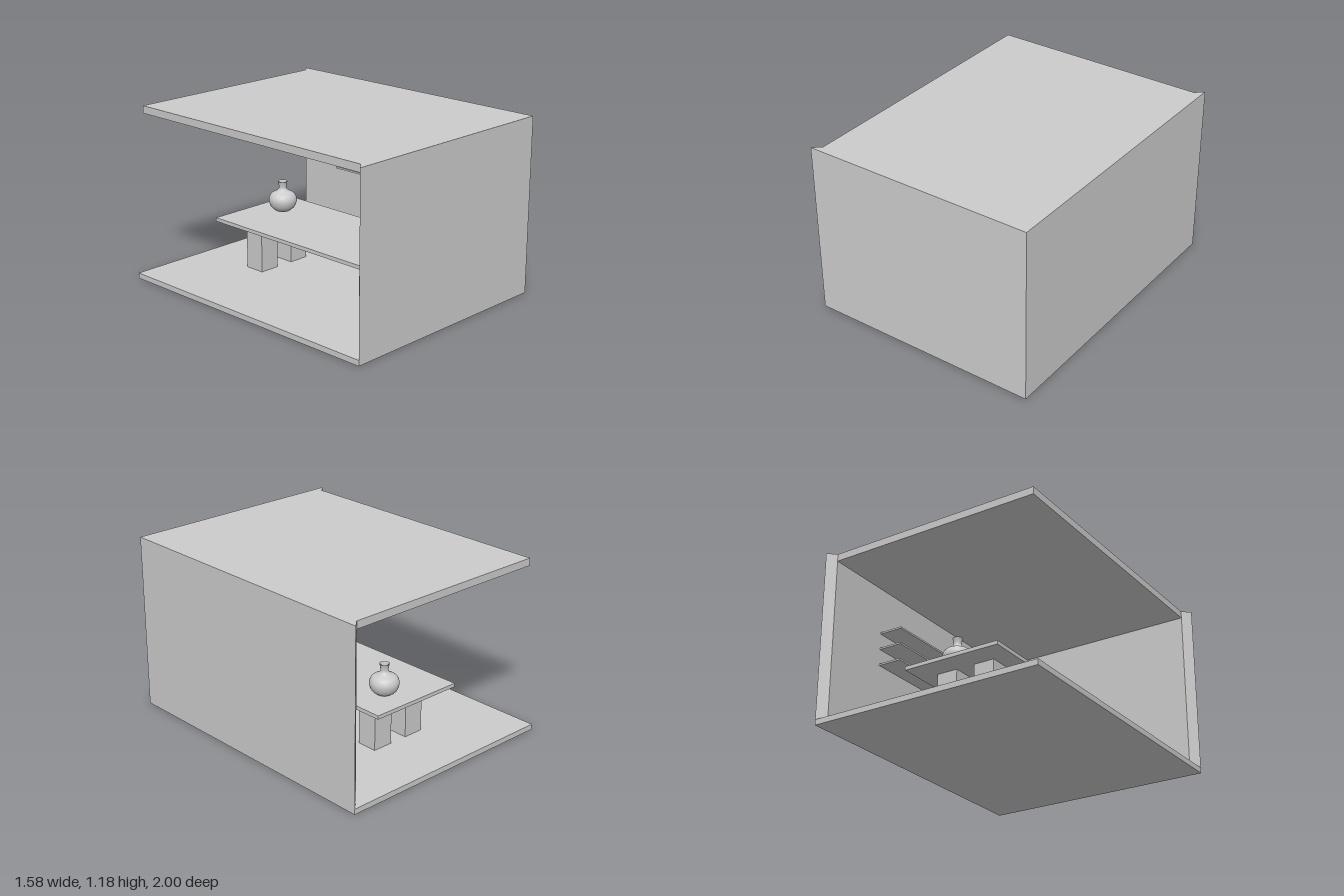
import * as THREE from 'three';

const material = new THREE.MeshStandardMaterial({ color: 0xcccccc, side: THREE.DoubleSide });

// Outer half extents, inner half extents and overall height of the room
const X = 0.79, Z = 1, IX = 0.735, IZ = 0.95, H = 1.18;
const FLOOR = 0.037, CEILING = 0.05;

function add(parent, name, geometry, x = 0, y = 0, z = 0) {
  const mesh = new THREE.Mesh(geometry, material);
  mesh.name = name;
  mesh.position.set(x, y, z);
  parent.add(mesh);
  return mesh;
}

// Upright prism over a floor plan given as [x, z] corners
function prism(plan, height) {
  const shape = new THREE.Shape(plan.map(([x, z]) => new THREE.Vector2(x, -z)));
  return new THREE.ExtrudeGeometry(shape, { depth: height, bevelEnabled: false }).rotateX(-Math.PI / 2);
}

// Box given by its size, its centre in plan and the height of its top
function slab(parent, name, [w, h, d], x, top, z) {
  return add(parent, name, new THREE.BoxGeometry(w, h, d), x, top - h / 2, z);
}

export function createModel() {
  const model = new THREE.Group();
  model.name = 'room';

  // Two joined walls whose free ends taper to a sharp edge
  add(model, 'walls', prism([[X, Z], [-X, Z], [-IX, IZ], [IX, IZ], [IX, -IZ], [X, -Z]], H));

  // Floor reaches the full outline, ceiling stops at the inner one
  add(model, 'floor', prism([[-X, -Z], [X, -Z], [IX, -IZ], [IX, IZ], [-IX, IZ], [-X, Z]], FLOOR));
  slab(model, 'ceiling', [2 * IX, CEILING, 2 * IZ], 0, H, 0);

  // Table with four square legs
  const table = new THREE.Group();
  table.name = 'table';
  model.add(table);
  const tableTop = 0.38, topThickness = 0.025;
  slab(table, 'tabletop', [0.675, topThickness, 1.46], 0, tableTop, 0.005);
  const legHeight = tableTop - topThickness - FLOOR;
  for (const x of [-0.135, 0.135]) {
    for (const z of [-0.495, 0.53]) {
      slab(table, 'tableLeg', [0.143, legHeight, 0.143], x, tableTop - topThickness, z);
    }
  }

  // Round vase with a narrow neck, standing on the table
  const profile = new THREE.SplineCurve([
    [0.045, 0], [0.08, 0.028], [0.095, 0.075], [0.08, 0.115], [0.042, 0.138],
    [0.027, 0.155], [0.027, 0.18], [0.033, 0.205],
  ].map(([r, y]) => new THREE.Vector2(r, y))).getPoints(32);
  const outline = [new THREE.Vector2(0, 0), ...profile, new THREE.Vector2(0.024, 0.2), new THREE.Vector2(0.02, 0.15)];
  add(model, 'vase', new THREE.LatheGeometry(outline, 32), 0.09, tableTop, -0.526);

  // Three shelves on the side wall
  for (const top of [0.592, 0.706, 0.817]) {
    slab(model, 'shelf', [0.165, 0.012, 0.975], IX - 0.0825, top, 0);
  }

  return model;
}
